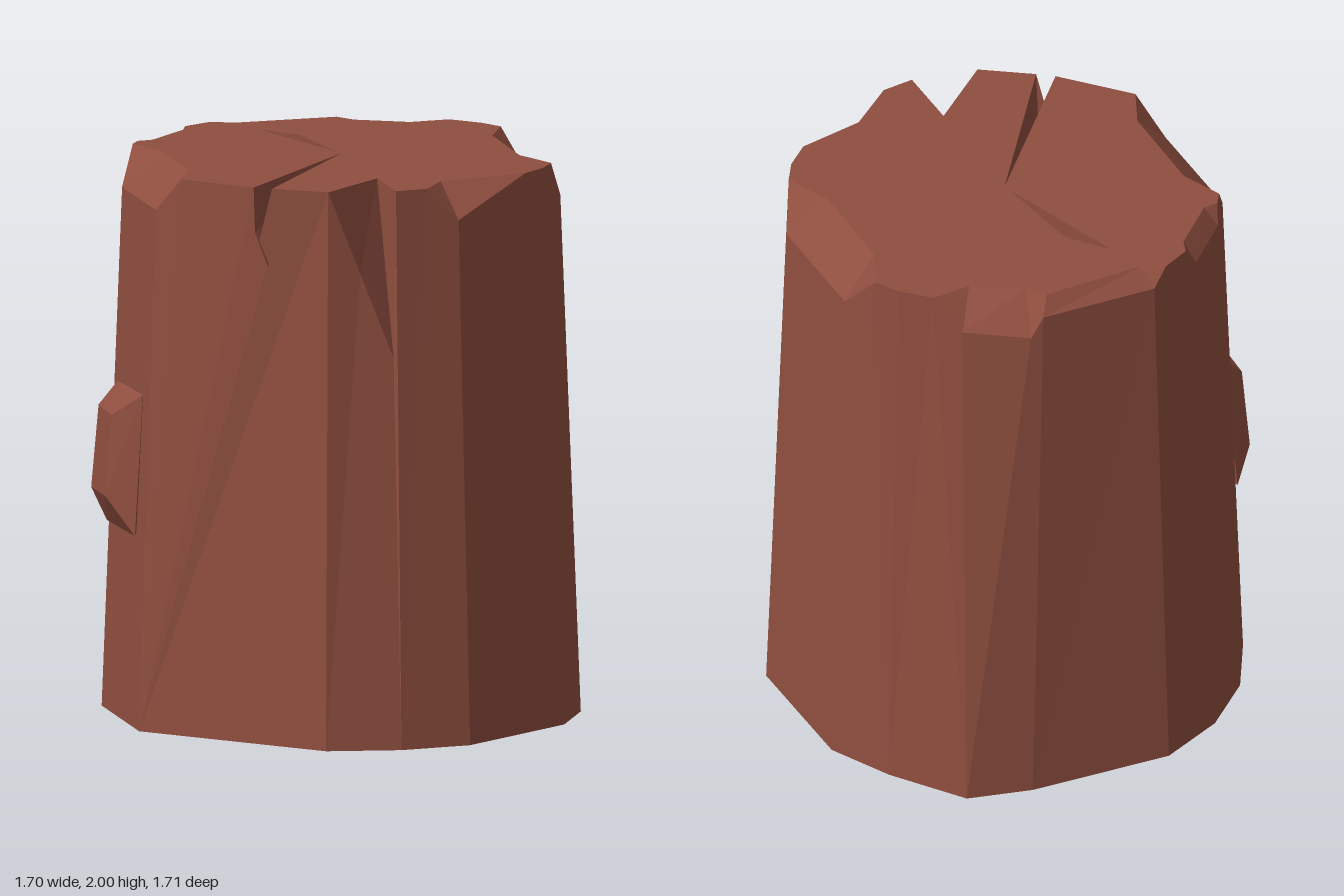
import * as THREE from 'three';
import { ConvexGeometry } from 'three/addons/geometries/ConvexGeometry.js';

const H = 2;
const APEX = [0, 0.05];    // inner end of the front crack
const TIP = [0.3, 0.46];   // inner end of the side crack

// Columns around the stump: foot [x, z], followed by its rim points
// [x, y, z] and, for chips and cracks, the matching inner point [x, z] on the cut.
const COLUMNS = [
  { foot: [-0.04, -0.86], rim: [[[0, 1.88, -0.73], [0, -0.61]], [[0.11, H, -0.71]]] },
  { foot: [0.26, -0.76], rim: [[[0.24, H, -0.69]], [[0.33, H, -0.65]]] },
  { foot: [0.49, -0.64], rim: [[[0.455, 1.86, -0.58], [0.37, -0.47]]] },
  { foot: [0.81, -0.21], rim: [[[0.74, 1.86, -0.19], [0.6, -0.15]], [[0.76, H, -0.05]]] },
  { foot: [0.85, 0.05], rim: [[[0.77, H, 0.05]], [[0.75, H, 0.17]]] },
  { foot: [0.69, 0.55], rim: [[[0.63, 1.88, 0.51], [0.53, 0.43]], [[0.54, H, 0.585]]] },
  { foot: [0.5, 0.73], rim: [[[0.455, H, 0.67]], [[0.45, 1.4, 0.68], TIP]] },
  { foot: [0.26, 0.85], rim: [[[0.34, 1.7, 0.72], TIP], [[0.24, H, 0.78]]] },
  { foot: [-0.5, 0.73], rim: [
    [[0.03, H, 0.79]], [[0.025, 1.84, 0.795], APEX], [[0.015, 1.72, 0.795], APEX],
    [[-0.035, 1.84, 0.79], APEX], [[-0.04, H, 0.79]], [[-0.34, H, 0.73]],
    [[-0.46, 1.87, 0.67], [-0.38, 0.56]]] },
  { foot: [-0.81, 0.31], rim: [[[-0.74, 1.87, 0.29], [-0.61, 0.24]], [[-0.755, H, 0.15]]] },
  { foot: [-0.85, 0.05], rim: [[[-0.76, H, 0.09]], [[-0.77, 1.93, 0.05], [-0.72, 0.05]]] },
  { foot: [-0.81, -0.21], rim: [[[-0.74, 1.93, -0.2], [-0.69, -0.18]], [[-0.71, H, -0.24]]] },
  { foot: [-0.69, -0.45], rim: [[[-0.66, H, -0.35]], [[-0.63, 1.94, -0.41], [-0.57, -0.37]]] },
  { foot: [-0.26, -0.76], rim: [[[-0.28, 1.94, -0.67], [-0.28, -0.61]], [[-0.24, 1.86, -0.69], [-0.2, -0.58]]] },
];

const at = ([x, z], y) => new THREE.Vector3(x, y, z);

// Non-indexed flat geometry from triangles, dropping collapsed ones
function facets(triangles) {
  const points = triangles
    .filter(([a, b, c]) => b.clone().sub(a).cross(c.clone().sub(a)).length() > 1e-7)
    .flat();
  const geometry = new THREE.BufferGeometry().setFromPoints(points);
  geometry.computeVertexNormals();
  return geometry;
}

// Closed band of faces between two loops
function band(lower, upper) {
  const triangles = [];
  lower.forEach((a, i) => {
    const j = (i + 1) % lower.length;
    triangles.push([a, upper[i], lower[j]], [lower[j], upper[i], upper[j]]);
  });
  return facets(triangles);
}

// Horizontal polygon, with an optional hole, facing up (1) or down (-1)
function plate(loop, y, facing, hole) {
  const outline = loop.filter((p, i) => {
    const q = loop[(i + 1) % loop.length];
    return p[0] !== q[0] || p[1] !== q[1];
  });
  const to2 = (p) => new THREE.Vector2(p[0], p[1]);
  const all = [...outline, ...(hole || [])].map((p) => at(p, y));
  const faces = THREE.ShapeUtils.triangulateShape(outline.map(to2), hole ? [hole.map(to2)] : []);
  return facets(faces.map(([i, j, k]) => {
    const [a, b, c] = [all[i], all[j], all[k]];
    const up = b.clone().sub(a).cross(c.clone().sub(a)).y;
    return up * facing > 0 ? [a, b, c] : [a, c, b];
  }));
}

export function createModel() {
  const group = new THREE.Group();
  const wood = new THREE.MeshStandardMaterial({ color: 0x8f4e3f, flatShading: true });
  wood.name = 'reddish brown wood';
  const add = (name, geometry) => {
    const mesh = new THREE.Mesh(geometry, wood);
    mesh.name = name;
    group.add(mesh);
  };

  const feet = [], rim = [], cut = [];
  for (const { foot, rim: points } of COLUMNS) {
    for (const [[x, y, z], inner] of points) {
      feet.push(foot);
      rim.push(new THREE.Vector3(x, y, z));
      cut.push(inner || [x, z]);
    }
  }

  // Tapered sides, chipped rim with its cracks, and underside
  add('trunkSides', band(feet.map((p) => at(p, 0)), rim));
  add('chippedRim', band(rim, cut.map((p) => at(p, H))));
  add('underside', plate(feet, 0, -1));

  // Cut top with a narrow split sunk into it
  const split = [[-0.02, 0.033], [-0.27, -0.23], [-0.45, -0.28]];
  add('cutTop', plate(cut, H, 1, split));
  add('splitWalls', band(split.map((p) => at(p, 1.9)), split.map((p) => at(p, H))));
  add('splitFloor', plate(split, 1.9, 1));

  // Stub of a broken branch on the side
  add('branchStub', new ConvexGeometry([
    [-0.53, 1.19, 0.62], [-0.74, 1.18, 0.33], [-0.56, 0.68, 0.62], [-0.79, 0.67, 0.31],
    [-0.67, 1.1, 0.57], [-0.79, 1.1, 0.39], [-0.69, 0.81, 0.58], [-0.82, 0.8, 0.385],
    [-0.55, 0.93, 0.4],
  ].map((p) => new THREE.Vector3(...p))));

  return group;
}
